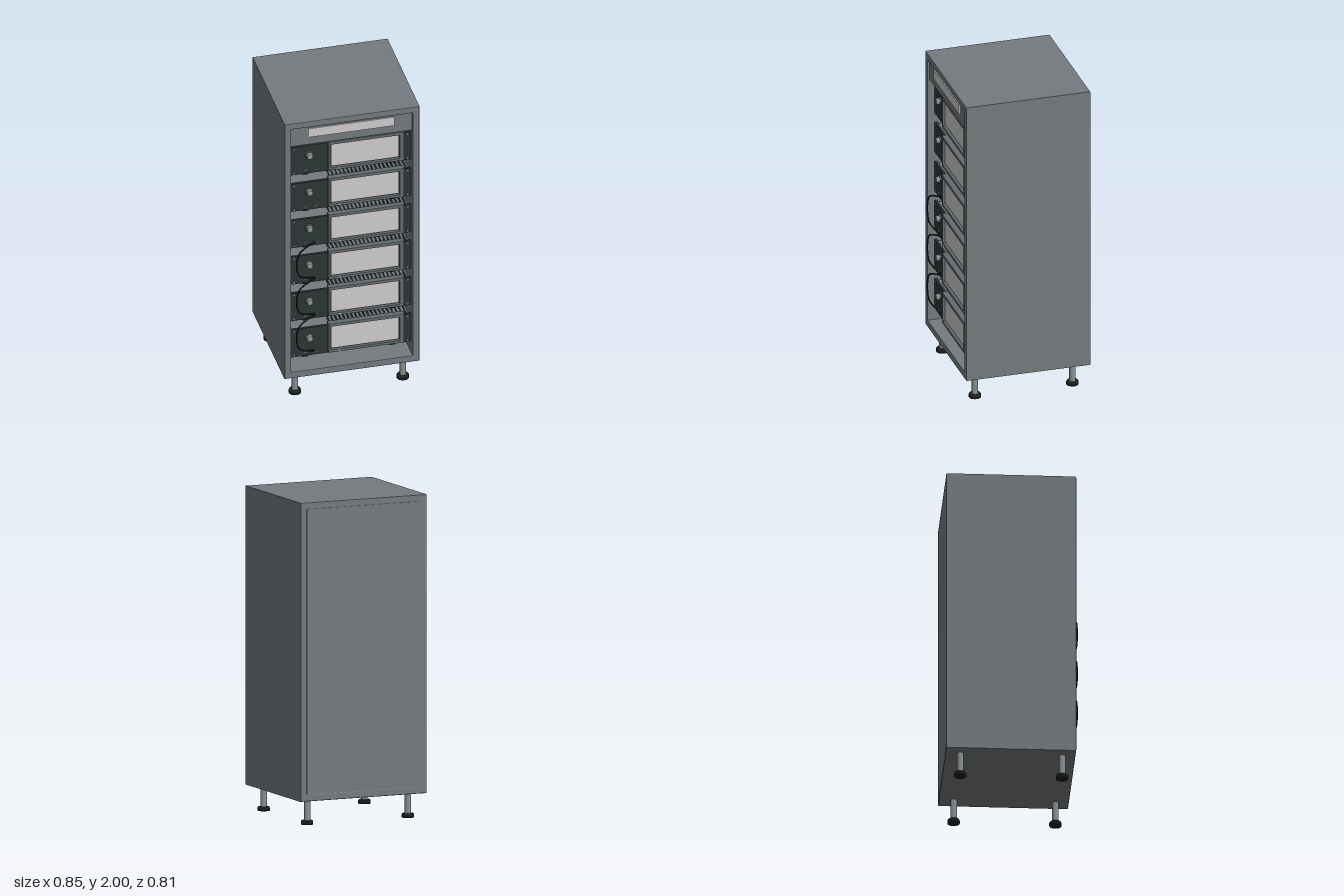
import * as THREE from 'three';

const mat = (name, color) => {
  const m = new THREE.MeshStandardMaterial({ color });
  m.name = name;
  return m;
};

export function createModel() {
  const grey = mat('cabinet grey', 0x747a7e);
  const dark = mat('panel dark green grey', 0x2b3535);
  const bezel = mat('bezel grey', 0x646c6f);
  const pale = mat('display pale grey', 0xcfcdce);
  const metal = mat('metal', 0x8a9092);
  const black = mat('black rubber', 0x1e2021);

  const root = new THREE.Group();
  root.name = 'equipmentCabinet';

  const add = (parent, name, geometry, material, x = 0, y = 0, z = 0) => {
    const mesh = new THREE.Mesh(geometry, material);
    mesh.name = name;
    mesh.position.set(x, y, z);
    parent.add(mesh);
    return mesh;
  };
  // Box given by its minimum and maximum corners
  const box = (parent, name, material, x0, x1, y0, y1, z0, z1) =>
    add(parent, name, new THREE.BoxGeometry(x1 - x0, y1 - y0, z1 - z0), material,
      (x0 + x1) / 2, (y0 + y1) / 2, (z0 + z1) / 2);
  // Cylinder pointing to the front
  const knobShape = (r0, r1, len, sides = 20) =>
    new THREE.CylinderGeometry(r0, r1, len, sides).rotateX(Math.PI / 2);
  // Rectangular tube with slightly bevelled rims, centred on z = 0
  const frameGeometry = (outer, inner, depth, bevel) => {
    const trace = (path, [x0, x1, y0, y1]) =>
      path.moveTo(x0, y0).lineTo(x1, y0).lineTo(x1, y1).lineTo(x0, y1).closePath();
    const shape = new THREE.Shape();
    trace(shape, outer);
    const hole = new THREE.Path();
    trace(hole, inner);
    shape.holes.push(hole);
    return new THREE.ExtrudeGeometry(shape, {
      depth: depth - 2 * bevel, bevelThickness: bevel, bevelSize: bevel,
      bevelOffset: -bevel, bevelSegments: 2,
    }).translate(0, 0, bevel - depth / 2);
  };

  // Cabinet shell, open at the front
  const cabinet = new THREE.Group();
  cabinet.name = 'cabinet';
  root.add(cabinet);
  add(cabinet, 'shell', frameGeometry([-0.425, 0.425, 0.155, 2], [-0.382, 0.382, 0.2, 1.957], 0.795, 0.006),
    grey, 0, 0, -0.0075);
  box(cabinet, 'backPanel', grey, -0.384, 0.384, 0.198, 1.959, -0.405, -0.385);
  box(cabinet, 'headerPanel', grey, -0.382, 0.382, 1.828, 1.957, 0.36, 0.378);
  box(cabinet, 'namePlate', pale, -0.27, 0.267, 1.883, 1.945, 0.378, 0.386);

  // One rack unit, with y = 0 at the bottom of its front panel
  const makeUnit = () => {
    const unit = new THREE.Group();
    unit.name = 'rackUnit';
    box(unit, 'housing', grey, -0.37, 0.37, -0.008, 0.192, -0.25, 0.33);
    box(unit, 'frontPanel', dark, -0.382, 0.382, 0, 0.2, 0.33, 0.345);
    add(unit, 'displayBezel', frameGeometry([-0.143, 0.333, 0.014, 0.222], [-0.126, 0.306, 0.033, 0.2], 0.04, 0.004),
      bezel, 0, 0, 0.352);
    box(unit, 'displayRim', dark, -0.135, 0.315, 0.025, 0.21, 0.335, 0.352);
    box(unit, 'display', pale, -0.12, 0.3, 0.039, 0.194, 0.352, 0.357);
    box(unit, 'statusLight', pale, -0.082, -0.066, 0.022, 0.029, 0.371, 0.374);

    // Knob and cable sockets
    add(unit, 'knobBase', knobShape(0.025, 0.027, 0.008), bezel, -0.259, 0.133, 0.349);
    add(unit, 'knob', knobShape(0.018, 0.021, 0.025), metal, -0.259, 0.133, 0.362);
    box(unit, 'knobMark', pale, -0.262, -0.256, 0.137, 0.15, 0.374, 0.376);
    for (const x of [-0.285, -0.217]) {
      add(unit, 'socketRing', knobShape(0.008, 0.008, 0.006, 12), metal, x, 0.03, 0.347);
      add(unit, 'socketHole', knobShape(0.005, 0.005, 0.006, 12), black, x, 0.03, 0.348);
    }
    for (const x of [-0.355, 0.36]) {
      for (const y of [0.014, 0.188]) {
        add(unit, 'screw', knobShape(0.006, 0.006, 0.005, 10), metal, x, y, 0.347);
      }
    }
    // Feet under the housing
    for (const x of [-0.275, 0.27]) {
      for (const z of [0.3, -0.2]) {
        box(unit, 'housingFoot', black, x - 0.019, x + 0.019, -0.024, -0.008, z - 0.019, z + 0.019);
      }
    }
    // Vent slots on the top
    for (let i = 0; i < 20; i++) {
      const x = -0.12 + i * 0.025;
      box(unit, 'ventSlot', black, x - 0.006, x + 0.006, 0.19, 0.194, 0.05, 0.32);
    }
    return unit;
  };

  const pitch = 0.264;
  const unitBottom = (i) => 1.597 - pitch * i;
  for (let i = 0; i < 6; i++) {
    const unit = makeUnit();
    unit.position.y = unitBottom(i);
    root.add(unit);
  }

  // Cables looping between the lower four units
  const loop = [
    [-0.217, 0, 0.347], [-0.26, -0.008, 0.37], [-0.325, -0.035, 0.395], [-0.349, -0.09, 0.399],
    [-0.349, -0.165, 0.399], [-0.33, -0.21, 0.395], [-0.27, -0.245, 0.37], [-0.217, -pitch, 0.347],
  ].map((p) => new THREE.Vector3(...p));
  const cable = new THREE.TubeGeometry(new THREE.CatmullRomCurve3(loop), 48, 0.005, 8);
  for (let i = 2; i < 5; i++) add(root, 'cable', cable, black, 0, unitBottom(i) + 0.03, 0);

  // Adjustable legs
  const post = new THREE.CylinderGeometry(0.02, 0.02, 0.14, 20);
  const pad = new THREE.LatheGeometry(
    [[0, 0], [0.038, 0], [0.038, 0.018], [0.034, 0.025], [0, 0.025]].map((p) => new THREE.Vector2(...p)), 24);
  for (const x of [-0.34, 0.34]) {
    for (const z of [-0.315, 0.308]) {
      const leg = new THREE.Group();
      leg.name = 'leg';
      leg.position.set(x, 0, z);
      add(leg, 'post', post, metal, 0, 0.09, 0);
      add(leg, 'pad', pad, black);
      root.add(leg);
    }
  }
  return root;
}
